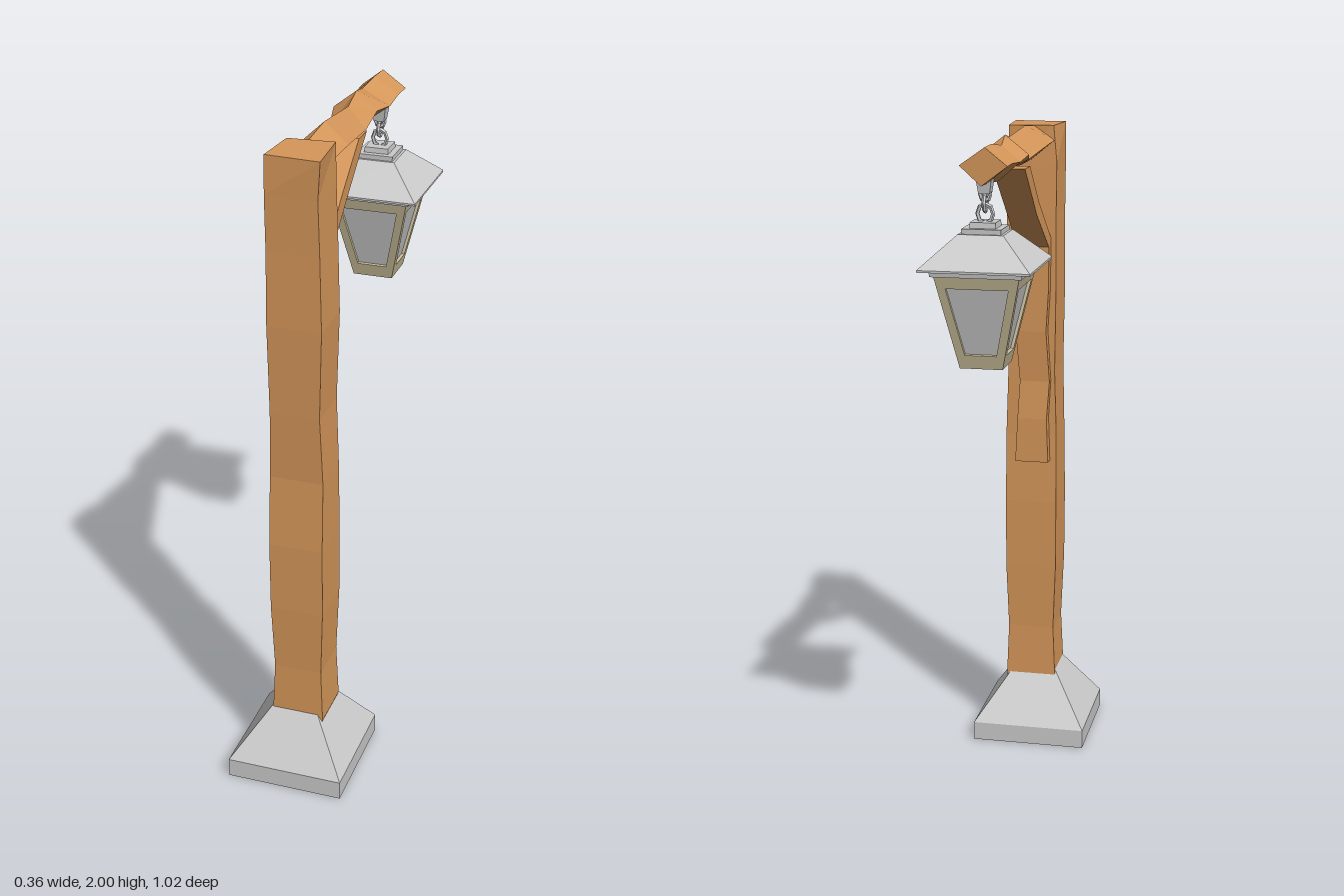
import * as THREE from 'three';

const wood = new THREE.MeshStandardMaterial({ color: 0xd6975a, flatShading: true });
const stone = new THREE.MeshStandardMaterial({ color: 0xcccccc, flatShading: true });
const brass = new THREE.MeshStandardMaterial({ color: 0xc8bc98, flatShading: true });

// Skins a closed solid over a row of four-cornered rings
function loft(rings) {
  const pos = [];
  const quad = (a, b, c, d) => pos.push(...a, ...b, ...c, ...a, ...c, ...d);
  for (let r = 0; r < rings.length - 1; r++) {
    const a = rings[r], b = rings[r + 1];
    for (let i = 0; i < 4; i++) {
      const j = (i + 1) % 4;
      quad(a[i], a[j], b[j], b[i]);
    }
  }
  const [p, q] = [rings[0], rings[rings.length - 1]];
  quad(p[3], p[2], p[1], p[0]);
  quad(q[0], q[1], q[2], q[3]);
  const geo = new THREE.BufferGeometry();
  geo.setAttribute('position', new THREE.Float32BufferAttribute(pos, 3));
  geo.computeVertexNormals();
  return geo;
}

// Horizontal rectangular ring
const ring = (y, x0, x1, z0, z1) => [[x1, y, z1], [x1, y, z0], [x0, y, z0], [x0, y, z1]];
const square = ([y, h]) => ring(y, -h, h, -h, h);

function add(parent, name, geo, mat) {
  const mesh = new THREE.Mesh(geo, mat);
  mesh.name = name;
  parent.add(mesh);
  return mesh;
}

function createLantern() {
  const g = new THREE.Group();
  g.name = 'lantern';
  const yBot = 1.378, yTop = 1.645, hBot = 0.061, hTop = 0.12;

  // Roof with eave and stepped cap
  add(g, 'lanternRoof', loft([[1.643, 0.128], [1.657, 0.13], [1.659, 0.157], [1.665, 0.157],
    [1.752, 0.064]].map(square)), stone);
  add(g, 'roofCapLower', loft([[1.75, 0.056], [1.766, 0.056]].map(square)), stone);
  add(g, 'roofCapUpper', loft([[1.764, 0.038], [1.782, 0.036]].map(square)), stone);

  // Four tapered frames around a glass core
  const tilt = Math.atan2(hTop - hBot, yTop - yBot);
  const len = Math.hypot(hTop - hBot, yTop - yBot);
  for (let i = 0; i < 4; i++) {
    const shape = new THREE.Shape([[-hBot, 0], [hBot, 0], [hTop, len], [-hTop, len]]
      .map(([x, y]) => new THREE.Vector2(x, y)));
    shape.holes.push(new THREE.Path([[-0.045, 0.04], [-0.088, 0.237], [0.088, 0.237], [0.045, 0.04]]
      .map(([x, y]) => new THREE.Vector2(x, y))));
    const geo = new THREE.ExtrudeGeometry(shape, { depth: 0.014, bevelEnabled: false });
    geo.translate(0, 0, -0.014).rotateX(tilt).translate(0, yBot, hBot).rotateY(i * Math.PI / 2);
    add(g, 'lanternFrame', geo, brass);
  }
  add(g, 'lanternGlass', loft([[yBot + 0.01, hBot - 0.007], [yTop - 0.004, hTop - 0.01]].map(square)), stone);
  add(g, 'lanternFloor', loft([[yBot, hBot - 0.003], [yBot + 0.012, hBot - 0.003]].map(square)), brass);

  // Hanging links and ceiling mount
  const links = [[1.802, 0.022, 0], [1.833, 0.02, Math.PI / 2], [1.855, 0.014, 0]];
  for (const [y, r, turn] of links) {
    const link = add(g, 'hangingLink', new THREE.TorusGeometry(r, 0.006, 5, 8), stone);
    link.scale.y = 1.2;
    link.position.y = y;
    link.rotation.y = turn;
  }
  add(g, 'hangingMount', loft([[1.858, 0.016], [1.9, 0.022]].map(square)), stone);

  g.position.set(0.02, 0, -0.352);
  return g;
}

export function createModel() {
  const model = new THREE.Group();
  model.name = 'lanternPost';

  // Stone footing
  add(model, 'footing', loft([
    ring(0.001, -0.18, 0.18, 0.15, 0.51),
    ring(0.06, -0.18, 0.18, 0.15, 0.51),
    ring(0.225, -0.067, 0.067, 0.262, 0.398),
  ]), stone);

  // Rough-hewn post: y, x range, z range
  const postRings = [
    [0, -0.045, 0.045, 0.285, 0.375],
    [0.2, -0.07, 0.09, 0.25, 0.405],
    [0.37, -0.062, 0.084, 0.255, 0.402],
    [0.58, -0.07, 0.092, 0.25, 0.408],
    [0.8, -0.071, 0.092, 0.247, 0.408],
    [1.02, -0.07, 0.091, 0.252, 0.395],
    [1.23, -0.064, 0.084, 0.25, 0.402],
    [1.5, -0.067, 0.093, 0.25, 0.408],
    [1.72, -0.066, 0.088, 0.25, 0.405],
    [1.88, -0.067, 0.084, 0.252, 0.407],
  ].map((r) => ring(...r));
  postRings.push([[0.092, 1.99, 0.41], [0.08, 1.99, 0.245], [-0.056, 1.99, 0.256], [-0.068, 1.99, 0.4]]);
  add(model, 'post', loft(postRings), wood);

  // Cross beam set on its edge: z, left and right x, ridge x, bottom, middle and top y
  const beam = [
    [0.27, -0.058, 0.078, 0.005, 1.885, 1.945, 1.988],
    [0.12, -0.058, 0.075, 0.005, 1.885, 1.94, 2],
    [-0.07, -0.045, 0.065, 0.012, 1.887, 1.922, 1.985],
    [-0.17, -0.066, 0.066, 0.003, 1.9, 1.946, 2],
    [-0.26, -0.06, 0.078, -0.006, 1.88, 1.935, 1.98],
    [-0.35, -0.055, 0.075, 0.003, 1.885, 1.94, 1.992],
    [-0.425, -0.058, 0.076, 0.005, 1.885, 1.94, 1.99],
  ].map(([z, x0, x1, xr, yb, ym, yt]) => [[xr + 0.01, yb, z], [x0, ym, z], [xr, yt, z], [x1, ym, z]]);
  add(model, 'crossBeam', loft(beam), wood);

  // Bent brace plank: post-side z and y, outer z and y, x range
  const brace = [
    [0.258, 0.94, 0.215, 0.94, -0.05, 0.055],
    [0.258, 1.08, 0.216, 1.08, -0.045, 0.048],
    [0.255, 1.2, 0.226, 1.2, -0.052, 0.042],
    [0.258, 1.36, 0.217, 1.36, -0.042, 0.054],
    [0.258, 1.5, 0.217, 1.5, -0.05, 0.046],
    [0.25, 1.65, 0.217, 1.625, -0.05, 0.05],
    [0.1, 1.775, 0.06, 1.745, -0.043, 0.047],
    [-0.05, 1.9, -0.125, 1.9, -0.045, 0.05],
  ].map(([zi, yi, zo, yo, x0, x1]) => [[x1, yi, zi], [x1, yo, zo], [x0, yo, zo], [x0, yi, zi]]);
  add(model, 'brace', loft(brace), wood);

  model.add(createLantern());
  return model;
}
